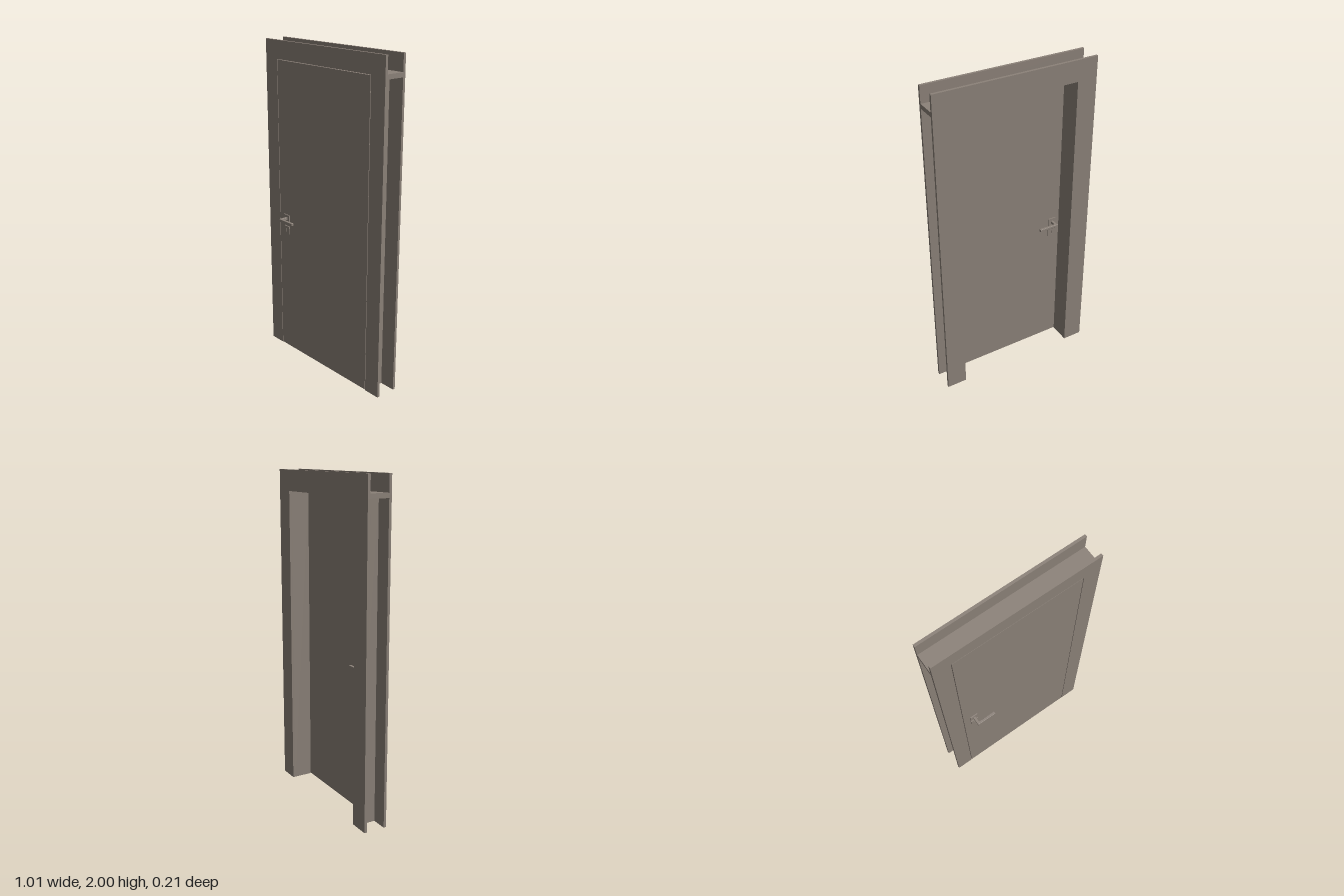
import * as THREE from 'three';
import { RoundedBoxGeometry } from 'three/addons/geometries/RoundedBoxGeometry.js';

const material = new THREE.MeshStandardMaterial({ color: 0x8c8279 });

// Main planes in depth and shared sizes
const BACK = -0.104, BACK_IN = -0.088, FRONT_IN = 0.027, FRONT = 0.043;
const HALF = 0.505, JAMB = 0.38, OPENING = 0.4;
const HEAD_LOW = 1.873, FRONT_HEAD = 1.889;
const HANDLE_X = -0.327;

function add(parent, name, geometry) {
  const mesh = new THREE.Mesh(geometry, material);
  mesh.name = name;
  parent.add(mesh);
  return mesh;
}

// Box given by its limits on each axis
function box(parent, name, [x0, x1], [y0, y1], [z0, z1]) {
  const mesh = add(parent, name, new THREE.BoxGeometry(x1 - x0, y1 - y0, z1 - z0));
  mesh.position.set((x0 + x1) / 2, (y0 + y1) / 2, (z0 + z1) / 2);
  return mesh;
}

// Slightly eased bar for the lever parts
function bar(parent, name, [x0, x1], [y0, y1], [z0, z1]) {
  const mesh = add(parent, name, new RoundedBoxGeometry(x1 - x0, y1 - y0, z1 - z0, 2, 0.002));
  mesh.position.set((x0 + x1) / 2, (y0 + y1) / 2, (z0 + z1) / 2);
}

// Square keyhole plate with a slot
function keyPlate(parent, y) {
  const s = 0.0255;
  const shape = new THREE.Shape();
  shape.moveTo(-s, -s).lineTo(s, -s).lineTo(s, s).lineTo(-s, s).closePath();
  const slot = new THREE.Path();
  slot.moveTo(-0.003, -0.011).lineTo(-0.003, 0.005);
  slot.absarc(0, 0.006, 0.005, Math.PI * 1.2, -Math.PI * 0.2, true);
  slot.lineTo(0.003, -0.011).closePath();
  shape.holes.push(slot);
  const geometry = new THREE.ExtrudeGeometry(shape, { depth: 0.007, bevelEnabled: false });
  add(parent, 'keyPlate', geometry).position.set(0, y, 0);
}

// Lever set standing on a plane at z = 0, pointing to +z
function leverSet(name, direction) {
  const group = new THREE.Group();
  group.name = name;
  box(group, 'rose', [-0.0255, 0.0255], [0.877, 0.928], [0, 0.007]);
  keyPlate(group, 0.8275);
  bar(group, 'leverNeck', [-0.008, 0.008], [0.895, 0.911], [0.004, 0.061]);
  const reach = [-0.008, 0.117].map(v => v * direction).sort((a, b) => a - b);
  bar(group, 'lever', reach, [0.895, 0.911], [0.045, 0.061]);
  return group;
}

export function createModel() {
  const model = new THREE.Group();
  model.name = 'door';

  // Frame: jambs and casings on both sides
  const frame = new THREE.Group();
  frame.name = 'frame';
  model.add(frame);
  for (const [side, label] of [[1, 'left'], [-1, 'right']]) {
    const span = (a, b) => (side > 0 ? [a, b] : [-b, -a]);
    box(frame, label + 'Jamb', span(JAMB, JAMB + 0.027), [0, HEAD_LOW], [BACK_IN, FRONT_IN]);
    box(frame, label + 'FrontCasing', span(OPENING, HALF), [0, FRONT_HEAD], [FRONT_IN, FRONT]);
    box(frame, label + 'BackCasing', span(JAMB, HALF), [0, HEAD_LOW], [BACK, BACK_IN]);
  }

  // Head of the frame, its casings rising above the lining
  box(frame, 'headLining', [-HALF, HALF], [HEAD_LOW, 1.9], [BACK_IN, FRONT_IN]);
  box(frame, 'frontHeadCasing', [-HALF, HALF], [FRONT_HEAD, 2], [FRONT_IN, FRONT]);
  box(frame, 'backHeadCasing', [-HALF, HALF], [HEAD_LOW, 2], [BACK, BACK_IN]);

  // Leaf, closed flush with the front casings
  box(model, 'doorLeaf', [-0.396, 0.396], [0.004, 1.885], [FRONT_IN, FRONT]);

  // Lever sets on both faces, both pointing to the hinge side
  const front = leverSet('frontHandle', 1);
  front.position.set(HANDLE_X, 0, FRONT);
  const back = leverSet('backHandle', -1);
  back.rotation.y = Math.PI;
  back.position.set(HANDLE_X, 0, FRONT_IN);
  model.add(front, back);

  return model;
}
